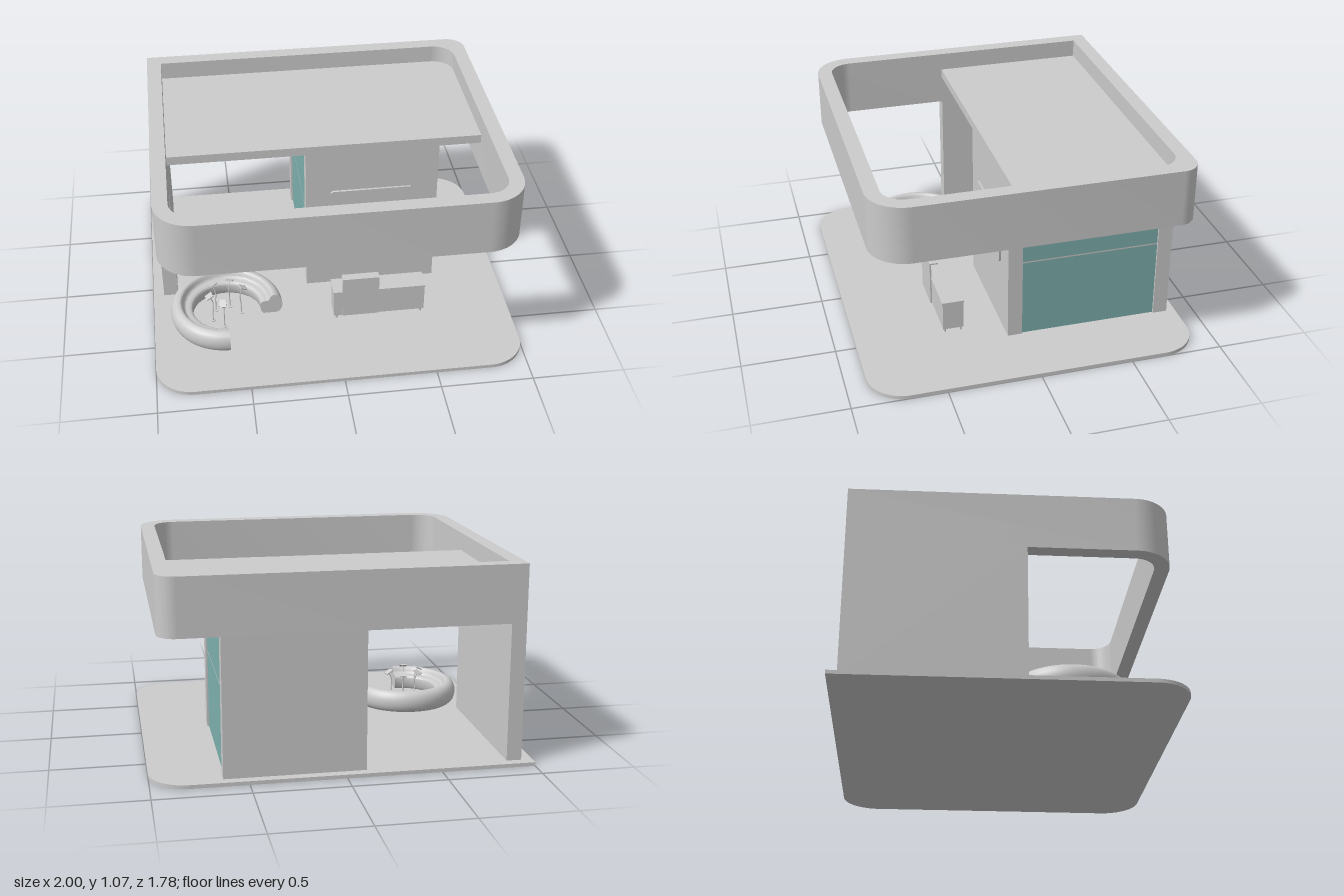
import * as THREE from 'three';
import { toCreasedNormals } from 'three/addons/utils/BufferGeometryUtils.js';

const grey = new THREE.MeshStandardMaterial({ color: 0xcccccc });
const greyDouble = new THREE.MeshStandardMaterial({ color: 0xcccccc, side: THREE.DoubleSide });
const teal = new THREE.MeshStandardMaterial({ color: 0x7eb1af });

function add(parent, name, geometry, material = grey) {
  const mesh = new THREE.Mesh(geometry, material);
  mesh.name = name;
  parent.add(mesh);
  return mesh;
}

// Box given by its limits on each axis
function box(parent, name, [x0, x1], [y0, y1], [z0, z1], material) {
  const mesh = add(parent, name, new THREE.BoxGeometry(x1 - x0, y1 - y0, z1 - z0), material);
  mesh.position.set((x0 + x1) / 2, (y0 + y1) / 2, (z0 + z1) / 2);
  return mesh;
}

// Rectangle with its own radius at each corner: front left, front right, back right, back left on the page
function roundedRect(path, w, h, [a, b, c, d]) {
  path.moveTo(-w + a, -h);
  path.lineTo(w - b, -h);
  if (b) path.absarc(w - b, -h + b, b, -Math.PI / 2, 0);
  path.lineTo(w, h - c);
  if (c) path.absarc(w - c, h - c, c, 0, Math.PI / 2);
  path.lineTo(-w + d, h);
  if (d) path.absarc(-w + d, h - d, d, Math.PI / 2, Math.PI);
  path.lineTo(-w, -h + a);
  if (a) path.absarc(-w + a, -h + a, a, Math.PI, Math.PI * 1.5);
  return path;
}

function extrude(shape, depth) {
  const geometry = new THREE.ExtrudeGeometry(shape, { depth, bevelEnabled: false, curveSegments: 14 });
  return toCreasedNormals(geometry, 0.5);
}

// Reading stand: foot, bent stalk and tilted tablet, leaning outward along +x
function readingStand() {
  const stand = new THREE.Group();
  stand.name = 'readingStand';
  const foot = add(stand, 'foot', new THREE.CylinderGeometry(0.014, 0.014, 0.004, 16));
  foot.position.set(0.085, 0.022, 0);
  const path = new THREE.CatmullRomCurve3([
    new THREE.Vector3(0.085, 0.02, 0),
    new THREE.Vector3(0.083, 0.1, 0),
    new THREE.Vector3(0.08, 0.15, 0),
    new THREE.Vector3(0.1, 0.198, 0),
  ]);
  add(stand, 'stalk', new THREE.TubeGeometry(path, 12, 0.003, 8));
  const tablet = add(stand, 'tablet', new THREE.BoxGeometry(0.043, 0.006, 0.04));
  tablet.position.set(0.1, 0.2, 0);
  tablet.rotation.z = -0.5;
  return stand;
}

export function createModel() {
  const model = new THREE.Group();
  model.name = 'pavilion';

  // Floor plate with one square corner
  const floor = add(model, 'floor', extrude(roundedRect(new THREE.Shape(), 1, 0.89, [0.2, 0.2, 0.2, 0]), 0.02));
  floor.rotation.x = -Math.PI / 2;

  // Open fascia ring around the roof
  const ringShape = roundedRect(new THREE.Shape(), 0.94, 0.84, [0.2, 0.2, 0.1, 0]);
  ringShape.holes.push(roundedRect(new THREE.Path(), 0.86, 0.76, [0.12, 0.12, 0.12, 0]));
  const ring = add(model, 'fascia', extrude(ringShape, 0.31));
  ring.rotation.x = -Math.PI / 2;
  ring.position.y = 0.76;

  // Roof slab over the back half, its one curved corner following the fascia
  const roof = add(model, 'roof', extrude(roundedRect(new THREE.Shape(), 0.86, 0.42, [0, 0, 0.12, 0]), 0.05));
  roof.rotation.x = -Math.PI / 2;
  roof.position.set(0, 0.92, -0.34);

  // Walls
  box(model, 'sideWall', [-0.94, -0.86], [0.02, 0.76], [-0.84, 0.08]);
  box(model, 'roomFrontWall', [-0.11, 0.63], [0.02, 0.92], [0, 0.08]);
  box(model, 'roomBackWall', [-0.11, 0.63], [0.02, 0.76], [-0.84, -0.76]);

  // Glazing on both sides of the room, split by a thin rail
  for (const [side, x0, x1] of [['left', 0.6, 0.62], ['right', -0.1, -0.08]]) {
    box(model, side + 'LowerGlass', [x0, x1], [0.02, 0.461], [-0.76, 0], teal);
    box(model, side + 'Rail', [x0, x1], [0.461, 0.469], [-0.76, 0]);
    box(model, side + 'UpperGlass', [x0, x1], [0.469, 0.92], [-0.76, 0], teal);
  }

  // Wall screen
  const screen = add(model, 'screen',
    extrude(roundedRect(new THREE.Shape(), 0.232, 0.132, [0.02, 0.02, 0.02, 0.02]), 0.013));
  screen.position.set(0.258, 0.538, 0.08);

  // Counter with legs and a raised front panel
  const counter = new THREE.Group();
  counter.name = 'counter';
  model.add(counter);
  box(counter, 'cabinet', [0.004, 0.516], [0.045, 0.202], [0.298, 0.412]);
  box(counter, 'counterTop', [0, 0.52], [0.204, 0.215], [0.294, 0.416]);
  box(counter, 'cabinetCore', [0.01, 0.51], [0.2, 0.206], [0.304, 0.406]);
  for (const x of [0.02, 0.5]) {
    for (const z of [0.312, 0.398]) {
      const leg = add(counter, 'leg', new THREE.CylinderGeometry(0.007, 0.005, 0.026, 12));
      leg.position.set(x, 0.033, z);
    }
  }
  box(counter, 'frontPanel', [0.05, 0.255], [0.05, 0.307], [0.414, 0.423]);
  box(counter, 'panelShelf', [0.05, 0.255], [0.299, 0.307], [0.375, 0.414]);

  // Three-quarter round sofa: one cross-section swept about the centre
  const seating = new THREE.Group();
  seating.name = 'seating';
  seating.position.set(-0.59, 0, 0.31);
  model.add(seating);
  const section = new THREE.Shape();
  section.moveTo(0.205, 0.022);
  section.lineTo(0.275, 0.022);
  section.bezierCurveTo(0.325, 0.022, 0.33, 0.146, 0.265, 0.147);
  section.bezierCurveTo(0.24, 0.147, 0.25, 0.108, 0.225, 0.107);
  section.bezierCurveTo(0.2, 0.108, 0.19, 0.1, 0.19, 0.085);
  section.lineTo(0.192, 0.04);
  section.lineTo(0.205, 0.022);
  const profile = section.getPoints(10);
  const sofa = new THREE.LatheGeometry(profile, 60, Math.PI / 2, Math.PI * 1.5);
  add(seating, 'sofa', toCreasedNormals(sofa, 0.6), greyDouble);
  const endA = add(seating, 'sofaEnd', new THREE.ShapeGeometry(section, 10), greyDouble);
  const endB = add(seating, 'sofaEnd', new THREE.ShapeGeometry(section, 10), greyDouble);
  endA.rotation.y = 0;
  endB.rotation.y = -Math.PI / 2;

  // Five stands inside the sofa, a sixth of a turn apart
  for (let i = 0; i < 5; i++) {
    const stand = readingStand();
    stand.rotation.y = -THREE.MathUtils.degToRad(104 + i * 60);
    seating.add(stand);
  }

  return model;
}
